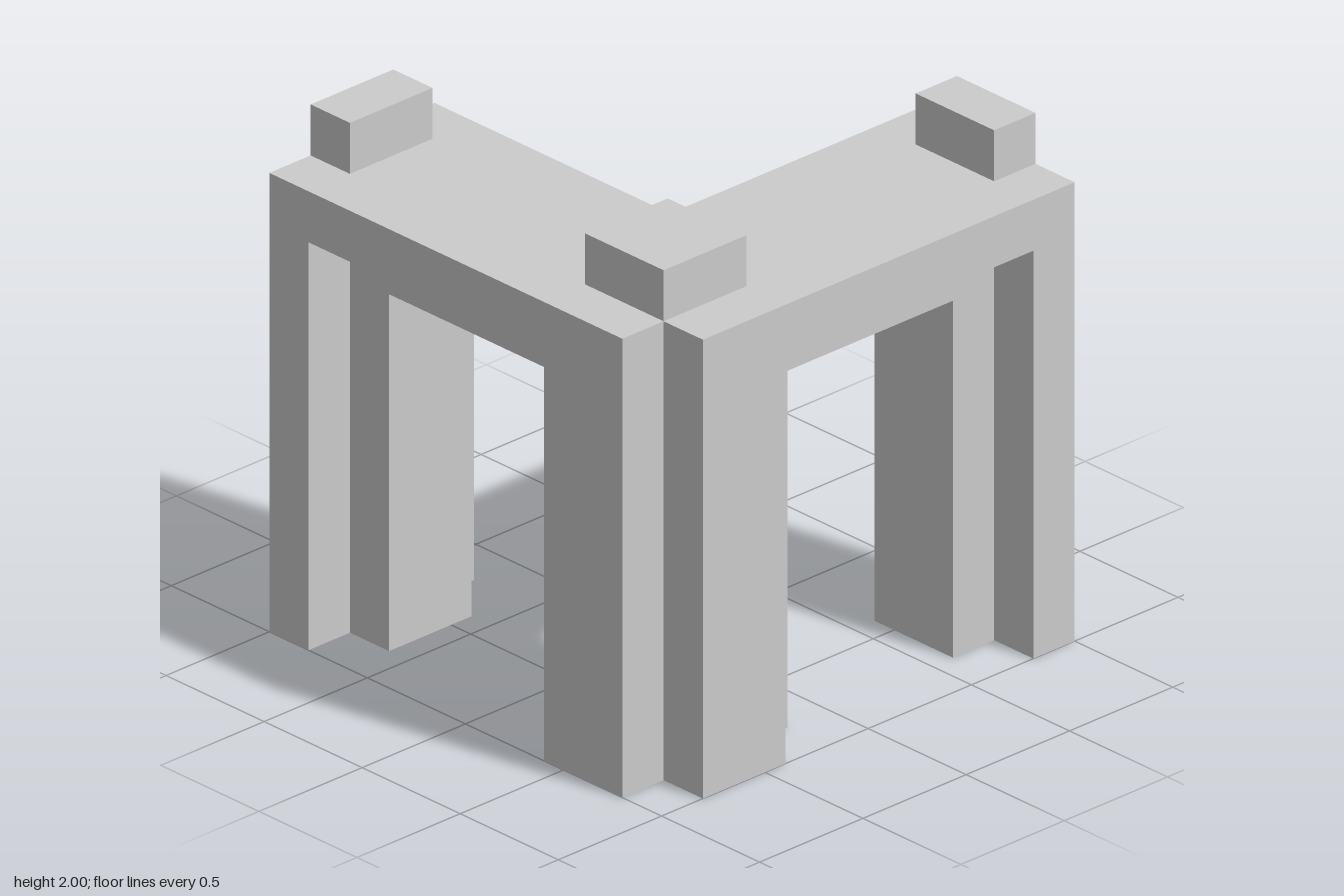
import * as THREE from 'three';

export function createModel() {
  const group = new THREE.Group();
  const material = new THREE.MeshStandardMaterial({ color: 0xcccccc, flatShading: true });

  // Extrudes a plan outline of [x, z] corners from height y0 up to y1
  const addPlan = (name, plan, y0, y1) => {
    const shape = new THREE.Shape(plan.map(([x, z]) => new THREE.Vector2(x, -z)));
    const geometry = new THREE.ExtrudeGeometry(shape, { depth: y1 - y0, bevelEnabled: false });
    geometry.rotateX(-Math.PI / 2).translate(0, y0, 0);
    const mesh = new THREE.Mesh(geometry, material);
    mesh.name = name;
    group.add(mesh);
  };
  const rect = (x0, x1, z0, z1) => [[x0, z0], [x1, z0], [x1, z1], [x0, z1]];

  // Mirrors a plan across the diagonal, turning the left wing into the back wing
  const mirror = (plan) => plan.map(([x, z]) => [-z, -x]);
  const addPair = (part, plan, y0, y1) => {
    addPlan('left' + part, plan, y0, y1);
    addPlan('back' + part, mirror(plan), y0, y1);
  };

  // Cross-shaped pillar under the corner
  addPlan('cornerPillar', [
    [-0.8, 1], [-0.4, 1], [-0.4, 0.8], [-0.2, 0.8], [-0.2, 0.4], [-0.4, 0.4],
    [-0.4, 0.2], [-0.8, 0.2], [-0.8, 0.4], [-1, 0.4], [-1, 0.8], [-0.8, 0.8],
  ], 0, 1.6);

  // T-shaped pillars closing the two wings
  addPair('EndPillar', [
    [1, 1], [1, 0.2], [0.8, 0.2], [0.8, 0.4], [0.6, 0.4], [0.6, 0.8], [0.8, 0.8], [0.8, 1],
  ], 0, 1.6);

  // Recessed lintels between the pillars
  addPair('Lintel', rect(-0.2, 0.6, 0.4, 0.8), 1.4, 1.6);

  // L-shaped deck with a notched outer corner
  addPlan('deck', [
    [-0.8, 1], [1, 1], [1, 0.2], [-0.2, 0.2], [-0.2, -1], [-1, -1], [-1, 0.8], [-0.8, 0.8],
  ], 1.6, 1.8);

  // Battlement blocks: whole at the corner, half at the ends
  addPlan('cornerMerlon', rect(-0.8, -0.4, 0.4, 0.8), 1.8, 2);
  addPair('EndMerlon', rect(0.8, 1, 0.4, 0.8), 1.8, 2);

  return group;
}
